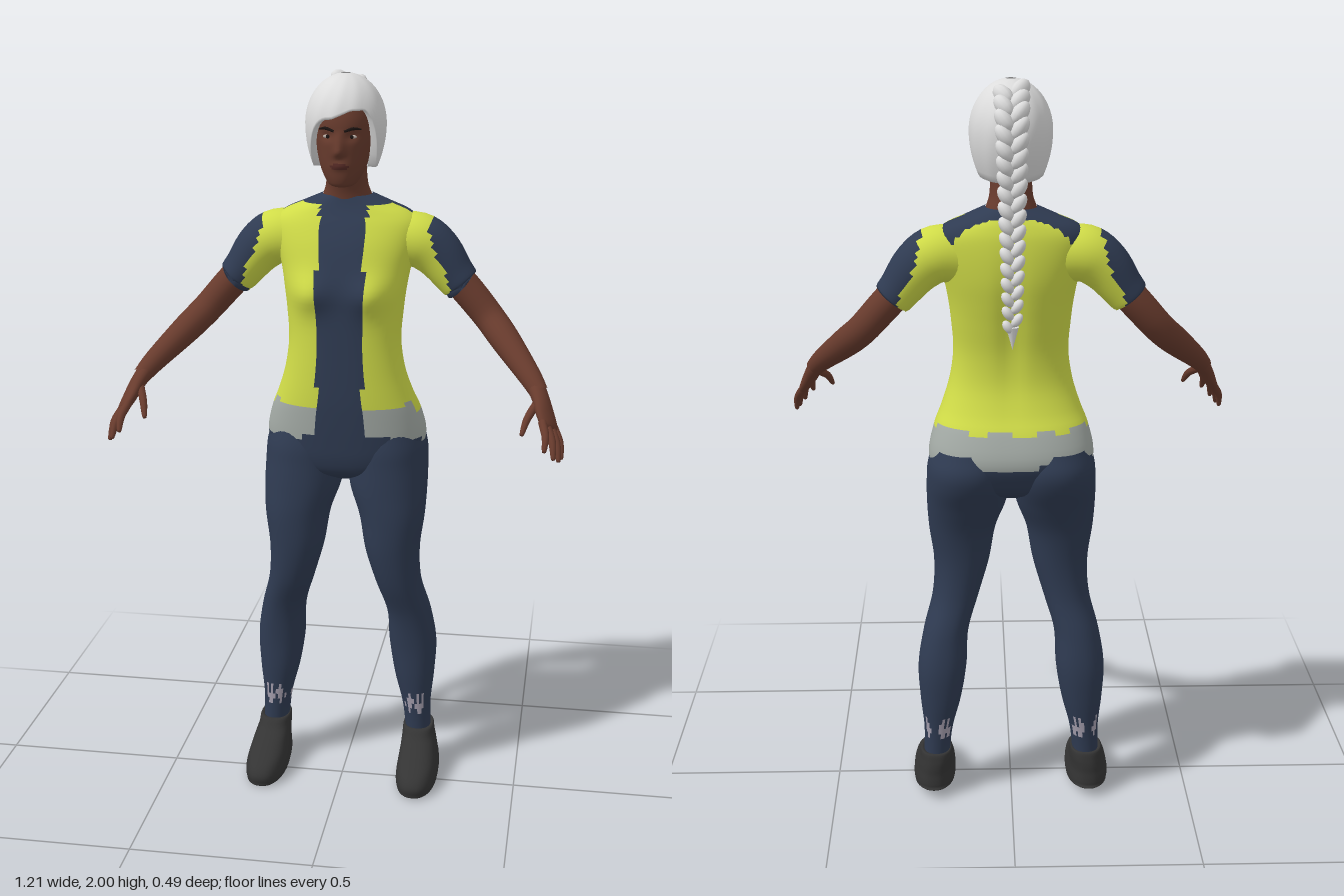
import * as THREE from 'three';
import { mergeGeometries } from 'three/addons/utils/BufferGeometryUtils.js';

const mat = (name, color, side = THREE.FrontSide) =>
  Object.assign(new THREE.MeshStandardMaterial({ color, side }), { name });
const V = (x, y, z) => new THREE.Vector3(x, y, z);
const hash = (a, b = 0) => { const s = Math.sin(a * 12.9898 + b * 78.233) * 43758.5453; return s - Math.floor(s); };
const gauss = (d, w) => Math.exp(-((d / w) ** 2));
const clamp = THREE.MathUtils.clamp;

// Smoothly subdivide rows of numbers
function refine(rows, sub) {
  const size = rows[0].length;
  const curve = new THREE.CubicInterpolant(rows.map((_, i) => i), rows.flat(), size);
  const out = [];
  for (let i = 0; i <= (rows.length - 1) * sub; i++) out.push(Array.from(curve.evaluate(i / sub)));
  return out;
}

// Skin closed rings of points; paint(centre, i, j) picks a material index per cell
function skin(rings, paint = () => 0) {
  const n = rings[0].length, lists = [], pos = rings.flat().flatMap(p => [p.x, p.y, p.z]);
  for (let i = 0; i < rings.length - 1; i++) for (let j = 0; j < n; j++) {
    const k = (j + 1) % n, a = i * n + j, b = i * n + k, c = b + n, d = a + n;
    const mid = rings[i][j].clone().add(rings[i + 1][k]).multiplyScalar(0.5);
    (lists[paint(mid, i, j)] ??= []).push(a, d, b, b, d, c);
  }
  const g = new THREE.BufferGeometry();
  g.setAttribute('position', new THREE.Float32BufferAttribute(pos, 3));
  g.setIndex(lists.flat());
  let start = 0;
  lists.forEach((l, m) => { g.addGroup(start, l.length, m); start += l.length; });
  g.computeVertexNormals();
  return g;
}

// Upright form: rows are [y, centre x, half width, front z, back z]
function upright(rows, { n = 40, sub = 4, e = 2, paint, warp } = {}) {
  const pw = v => Math.sign(v) * Math.abs(v) ** (2 / e);
  return skin(refine(rows, sub).map(([y, cx, w, zf, zb]) => Array.from({ length: n }, (_, j) => {
    const a = j / n * Math.PI * 2;
    const p = V(cx + w * pw(Math.cos(a)), y, (zf + zb) / 2 + (zf - zb) / 2 * pw(Math.sin(a)));
    if (warp) warp(p);
    return p;
  })), paint);
}

// Limb along a path: rows are [x, y, z, radius along ref, radius across]
function limb(rows, { n = 20, sub = 4, ref = V(0, 0, 1), paint } = {}) {
  const pts = refine(rows, sub), at = i => V(...pts[clamp(i, 0, pts.length - 1)].slice(0, 3));
  return skin(pts.map(([x, y, z, ru, rv], i) => {
    const t = at(i + 1).sub(at(i - 1)).normalize();
    const u = ref.clone().addScaledVector(t, -ref.dot(t)).normalize(), v = u.clone().cross(t);
    return Array.from({ length: n }, (_, j) => {
      const a = j / n * Math.PI * 2;
      return V(x, y, z).addScaledVector(u, ru * Math.cos(a)).addScaledVector(v, rv * Math.sin(a));
    });
  }), paint);
}

function mirrored(g) {
  const m = g.clone().scale(-1, 1, 1), ix = m.index;
  for (let i = 0; i < ix.count; i += 3) {
    const t = ix.getX(i); ix.setX(i, ix.getX(i + 1)); ix.setX(i + 1, t);
  }
  m.computeVertexNormals();
  return m;
}

const ball = (r, sx, sy, sz, x, y, z) => new THREE.SphereGeometry(r, 16, 10).scale(sx, sy, sz).translate(x, y, z);

export function createModel() {
  const model = new THREE.Group();
  const hair = mat('white hair', 0xdcdcdc, THREE.DoubleSide), skinTone = mat('brown skin', 0x683b2d);
  const yellow = mat('yellow cloth', 0xd0dc48), navy = mat('navy cloth', 0x2f3b52), grey = mat('grey hem', 0xa3aaa5);
  const shoe = mat('black leather', 0x343434), sock = mat('pale ankle', 0xa59fae);
  const dark = mat('dark brow', 0x1c1412), white = mat('eye white', 0xb8aca4), lip = mat('lips', 0x552a25);
  const add = (name, g, m) => { const o = new THREE.Mesh(g, m); o.name = name; model.add(o); };
  const pair = (name, g, m) => { add('left' + name, g, m); add('right' + name, mirrored(g), m); };

  // Top and hips, painted in stepped patches
  const paintTorso = (p, i, j) => {
    const ax = Math.abs(p.x), front = p.z > -0.03, step = hash(Math.floor(j / 3)) * 0.02;
    const bottom = (front ? 1.06 - 0.35 * clamp(ax - 0.07, 0, 0.12) : 1.015) + step - 0.01;
    if (p.y < bottom) return 1;
    if (front && ax < 0.063 && p.y > 1.05) return 1;
    if (p.y < (front ? 1.12 : 1.1) + step * 0.7) return 2;
    if (p.y > 1.662 || (p.y > 1.6 && p.z > -0.165 && p.z < -0.085 && ax < 0.185)) return 1;
    return 0;
  };
  add('torso', upright([
    [0.9, 0, 0.08, -0.03, -0.12], [0.93, 0, 0.16, 0.025, -0.18], [0.97, 0, 0.205, 0.043, -0.212],
    [1.03, 0, 0.22, 0.05, -0.23], [1.1, 0, 0.205, 0.055, -0.207], [1.15, 0, 0.185, 0.057, -0.18],
    [1.22, 0, 0.163, 0.057, -0.157], [1.3, 0, 0.152, 0.056, -0.155], [1.38, 0, 0.157, 0.055, -0.168],
    [1.44, 0, 0.164, 0.056, -0.18], [1.5, 0, 0.175, 0.044, -0.19], [1.56, 0, 0.19, 0.026, -0.192],
    [1.61, 0, 0.195, 0.004, -0.188], [1.64, 0, 0.17, -0.012, -0.18], [1.662, 0, 0.12, -0.022, -0.17],
    [1.685, 0, 0.066, -0.03, -0.155],
  ], {
    n: 72, e: 2.35, paint: paintTorso, warp: p => {
      if (p.z > -0.04) p.z += 0.024 * gauss(Math.abs(p.x) - 0.085, 0.05) * gauss(p.y - 1.435, 0.05);
      if (p.z < -0.1) p.z += 0.012 * gauss(p.x, 0.03) * gauss(p.y - 1.4, 0.18);
    },
  }), [yellow, navy, grey]);

  // Legs
  pair('Leg', upright([
    [0.1, 0.213, 0.036, -0.045, -0.14], [0.2, 0.206, 0.04, -0.04, -0.147], [0.3, 0.198, 0.057, -0.03, -0.162],
    [0.4, 0.192, 0.067, -0.024, -0.168], [0.5, 0.181, 0.062, -0.008, -0.155], [0.6, 0.153, 0.064, 0.025, -0.135],
    [0.7, 0.136, 0.076, 0.043, -0.135], [0.8, 0.133, 0.091, 0.049, -0.152], [0.88, 0.121, 0.107, 0.047, -0.185],
    [0.95, 0.115, 0.112, 0.043, -0.222], [1.0, 0.113, 0.11, 0.04, -0.232], [1.05, 0.11, 0.098, 0.03, -0.215],
  ], {
    sub: 6, e: 2.15,
    paint: (p, i, j) => p.y > 0.18 + hash(j) * 0.03 && p.y < 0.215 + hash(j, 3) * 0.04 && hash(Math.floor(j / 3), 7) > 0.4 ? 1 : 0,
  }), [navy, sock]);

  // Shoes, with the heel slightly raised
  pair('Shoe', upright([
    [0, 0.22, 0.002, 0.01, 0], [0.001, 0.22, 0.05, 0.115, -0.15], [0.012, 0.22, 0.059, 0.128, -0.158],
    [0.035, 0.22, 0.059, 0.129, -0.158], [0.06, 0.219, 0.055, 0.105, -0.156], [0.085, 0.217, 0.05, 0.045, -0.156],
    [0.11, 0.214, 0.046, -0.01, -0.154], [0.135, 0.213, 0.043, -0.036, -0.148], [0.13, 0.213, 0.03, -0.06, -0.13],
  ], { e: 2.4, warp: p => { p.y += 0.026 * clamp(-p.z / 0.15, 0, 1) * clamp(1 - p.y / 0.12, 0, 1); } }), shoe);

  // Sleeves
  pair('Sleeve', limb([
    [0.12, 1.56, -0.095, 0.07, 0.072], [0.19, 1.562, -0.097, 0.076, 0.074], [0.24, 1.53, -0.098, 0.069, 0.068],
    [0.283, 1.477, -0.097, 0.062, 0.057], [0.306, 1.449, -0.096, 0.058, 0.052], [0.3, 1.456, -0.096, 0.046, 0.042],
  ], {
    n: 32, sub: 5,
    paint: (p, i, j) => p.x + (p.y - 1.5) * 0.25 > 0.25 + hash(Math.floor(j / 4), 2) * 0.03 ? 1 : 0,
  }), [yellow, navy]);

  // Arms, palms and fingers
  pair('Arm', limb([
    [0.28, 1.48, -0.096, 0.048, 0.044], [0.335, 1.42, -0.094, 0.047, 0.043], [0.388, 1.36, -0.08, 0.043, 0.041],
    [0.435, 1.312, -0.03, 0.042, 0.039], [0.503, 1.243, 0.055, 0.031, 0.03], [0.533, 1.207, 0.095, 0.024, 0.024],
  ]), skinTone);
  const across = V(-0.51, 0.45, 0.73);
  pair('Palm', limb([
    [0.525, 1.216, 0.083, 0.026, 0.023], [0.54, 1.19, 0.115, 0.031, 0.02], [0.553, 1.16, 0.145, 0.039, 0.017],
    [0.564, 1.137, 0.168, 0.036, 0.013], [0.567, 1.13, 0.175, 0.02, 0.005],
  ], { ref: across }), skinTone);
  const finger = (a, b, c) => limb([[...a, 0.011, 0.011], [...b, 0.0105, 0.01], [...c, 0.006, 0.006],
    [...c.map((v, i) => v + (v - b[i]) * 0.06), 0.0005, 0.0005]], { n: 10 });
  const tips = [[0.555, 1.098, 0.246], [0.578, 1.076, 0.235], [0.591, 1.064, 0.212], [0.597, 1.062, 0.185]];
  const fingers = tips.map((tip, i) => {
    const base = V(0.56, 1.143, 0.162).addScaledVector(across, 0.028 - i * 0.0187);
    const knuckle = base.clone().lerp(V(...tip), 0.55).add(V(0.005, 0.005, 0.003));
    return finger(base.toArray(), knuckle.toArray(), tip);
  });
  fingers.push(finger([0.53, 1.19, 0.12], [0.507, 1.16, 0.175], [0.496, 1.128, 0.207]));
  pair('Fingers', mergeGeometries(fingers), skinTone);

  // Neck and sculpted head
  add('neck', upright([
    [1.63, 0, 0.08, -0.03, -0.16], [1.68, 0, 0.066, -0.027, -0.152], [1.71, 0, 0.056, -0.02, -0.145],
    [1.75, 0, 0.053, -0.005, -0.14], [1.8, 0, 0.05, 0, -0.14],
  ]), skinTone);
  add('head', upright([
    [1.714, 0, 0.004, 0.015, 0], [1.72, 0, 0.03, 0.038, -0.04], [1.735, 0, 0.044, 0.047, -0.07],
    [1.765, 0, 0.059, 0.052, -0.1], [1.805, 0, 0.07, 0.055, -0.13], [1.85, 0, 0.078, 0.056, -0.15],
    [1.9, 0, 0.08, 0.05, -0.16], [1.945, 0, 0.065, 0.025, -0.145], [1.97, 0, 0.005, -0.04, -0.05],
  ], {
    n: 80, sub: 7, e: 2.15,
    paint: p => p.z > 0 && ((p.x / 0.023) ** 2 + ((p.y - 1.773) / 0.009) ** 2) < 1 ? 1 : 0,
    warp: p => {
      if (p.z < 0) return;
      const d = p.y - 1.808, nose = d > 0 ? clamp(1 - d / 0.055, 0, 1) : clamp(1 + d / 0.014, 0, 1);
      p.z += 0.018 * gauss(p.x, 0.013) * nose + 0.005 * gauss(p.x, 0.02) * gauss(p.y - 1.773, 0.009)
        - 0.008 * gauss(Math.abs(p.x) - 0.032, 0.017) * gauss(p.y - 1.85, 0.012);
    },
  }), [skinTone, lip]);
  pair('Eye', ball(1, 0.012, 0.005, 0.005, 0.032, 1.848, 0.04), white);
  pair('Iris', ball(1, 0.005, 0.005, 0.003, 0.031, 1.848, 0.044), dark);
  pair('Brow', limb([[0.013, 1.862, 0.054, 0.003, 0.003], [0.035, 1.869, 0.047, 0.003, 0.004],
    [0.054, 1.866, 0.032, 0.002, 0.002]], { n: 8 }), dark);

  // Swept hair: each column runs from a shaped rim up to the crown
  const rim = a => {
    const s = Math.sin(a), left = Math.cos(a) > 0;
    const rise = THREE.MathUtils.smoothstep(s, left ? 0.25 : 0.3, left ? 0.8 : 0.97);
    return 1.75 + 0.012 * clamp(s + 1, 0, 1) + rise * (0.13 + 0.022 * clamp(Math.cos(a) * 2 + 0.4, 0, 1));
  };
  const rows = 22, cols = 72, hairRings = [];
  for (let i = -1; i <= rows; i++) hairRings.push(Array.from({ length: cols }, (_, j) => {
    const a = j / cols * Math.PI * 2, v = Math.max(i, 0) / rows, low = rim(a);
    const y = low + (1.999 - low) * Math.sin(v * Math.PI / 2), h = (y - 1.87) / 0.13;
    let r = h > 0 ? Math.sqrt(Math.max(0, 1 - h * h)) : 1 - 0.3 * h * h;
    r *= (i < 0 ? 0.74 : 1) * (1 + 0.006 * Math.sin(a * 12 + v * 5));
    return V(0.106 * r * Math.cos(a), y, -0.06 + 0.128 * r * Math.sin(a));
  }));
  add('hair', skin(hairRings), hair);

  // Plait: alternating tilted lobes down a curve, ending in a tuft
  const path = new THREE.CatmullRomCurve3([
    V(0, 1.975, -0.115), V(0, 1.935, -0.165), V(0, 1.85, -0.193), V(0, 1.75, -0.192),
    V(0, 1.64, -0.208), V(0, 1.53, -0.226), V(0, 1.43, -0.217), V(0, 1.36, -0.208),
  ]);
  const lobes = [], count = 34;
  for (let i = 0; i < count; i++) {
    const t = i / (count - 1) * 0.94, s = i % 2 ? 1 : -1, k = 1.15 - 0.55 * t;
    const q = new THREE.Quaternion().setFromUnitVectors(V(0, -1, 0), path.getTangentAt(t))
      .multiply(new THREE.Quaternion().setFromAxisAngle(V(0, 0, 1), -s * 0.6));
    const p = path.getPointAt(t);
    lobes.push(new THREE.SphereGeometry(1, 12, 8).scale(0.019 * k, 0.031 * k, 0.022 * k)
      .applyQuaternion(q).translate(s * 0.018 * k, p.y, p.z));
  }
  add('plait', mergeGeometries(lobes), hair);
  add('plaitTuft', new THREE.ConeGeometry(0.017, 0.06, 10).rotateX(Math.PI).translate(0, 1.368, -0.209), hair);
  return model;
}
